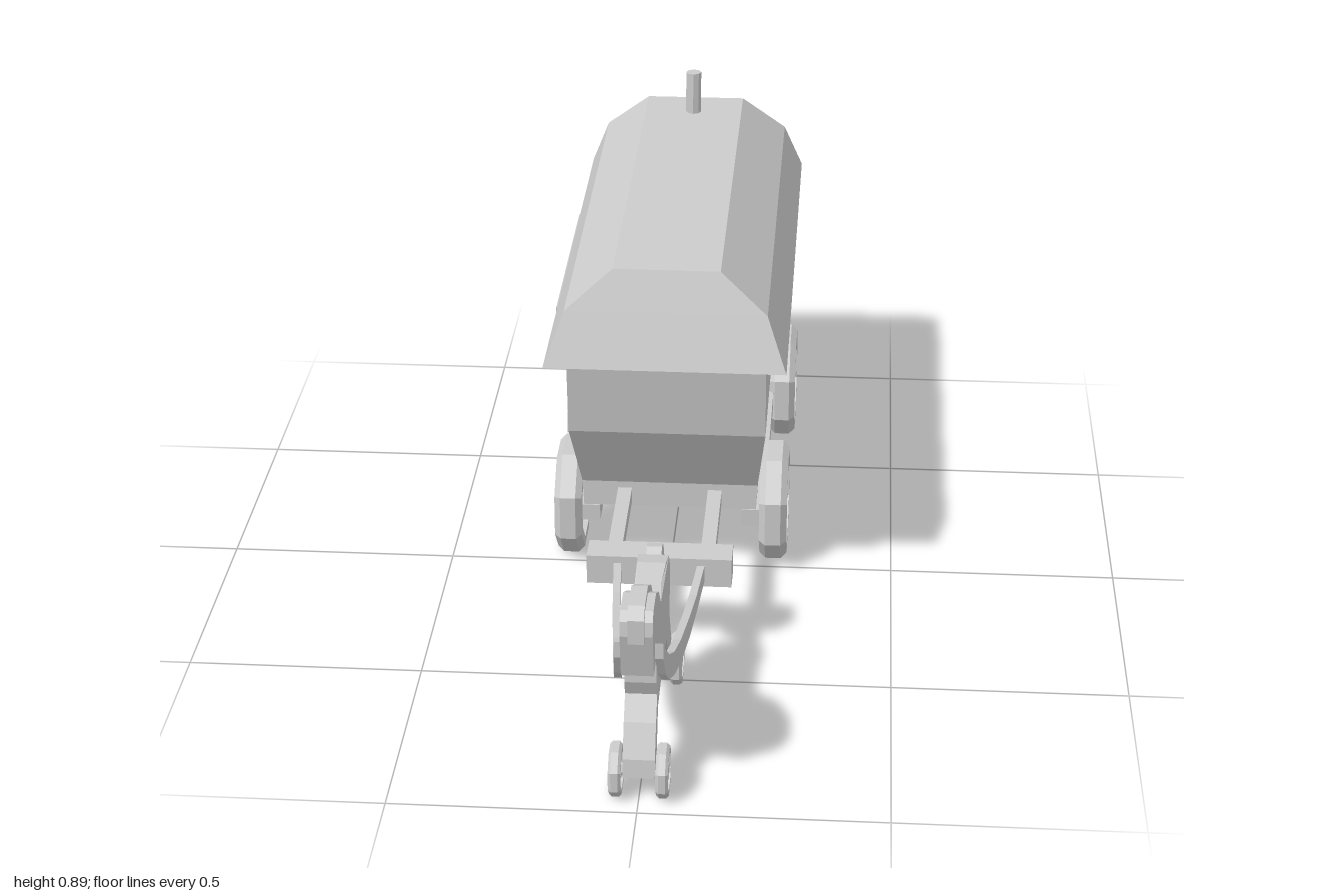
import * as THREE from 'three';

const material = new THREE.MeshStandardMaterial({ color: 0xcccccc, flatShading: true });

function add(parent, name, geometry, x = 0, y = 0, z = 0) {
  const mesh = new THREE.Mesh(geometry, material);
  mesh.name = name;
  mesh.position.set(x, y, z);
  parent.add(mesh);
  return mesh;
}

// Box given by its limits on each axis
function block(parent, name, x0, x1, y0, y1, z0, z1) {
  return add(parent, name, new THREE.BoxGeometry(x1 - x0, y1 - y0, z1 - z0),
    (x0 + x1) / 2, (y0 + y1) / 2, (z0 + z1) / 2);
}

// Closed skin over four-cornered cross-sections
function loft(rings) {
  const pos = [];
  const tri = (a, b, c) => pos.push(...a, ...b, ...c);
  for (let i = 0; i < rings.length - 1; i++) {
    for (let j = 0; j < 4; j++) {
      const k = (j + 1) % 4;
      tri(rings[i][j], rings[i][k], rings[i + 1][k]);
      tri(rings[i][j], rings[i + 1][k], rings[i + 1][j]);
    }
  }
  const s = rings[0], e = rings[rings.length - 1];
  tri(s[0], s[2], s[1]); tri(s[0], s[3], s[2]);
  tri(e[0], e[1], e[2]); tri(e[0], e[2], e[3]);
  const g = new THREE.BufferGeometry();
  g.setAttribute('position', new THREE.Float32BufferAttribute(pos, 3));
  g.computeVertexNormals();
  return g;
}

// Horizontal section for loft, stacked upwards
const level = (y, x0, x1, z0, z1) => [[x1, y, z1], [x1, y, z0], [x0, y, z0], [x0, y, z1]];

// Side outline in (z, y), extruded evenly about x = 0
function sideExtrude(points, width) {
  const shape = new THREE.Shape(points.map(([z, y]) => new THREE.Vector2(z, y)));
  return new THREE.ExtrudeGeometry(shape, { depth: width, bevelEnabled: false })
    .translate(0, 0, -width / 2).rotateY(-Math.PI / 2);
}

// Eight-sided chamfered wheel with spokes and hub; r is measured to the flats
function wheel(name, r, width) {
  const group = new THREE.Group();
  group.name = name;
  const R = r / Math.cos(Math.PI / 8), h = width / 2, c = width * 0.22;
  const profile = [[0.74 * R, -h], [R - c, -h], [R, -h + c], [R, h - c], [R - c, h], [0.74 * R, h], [0.74 * R, -h]]
    .map(([a, b]) => new THREE.Vector2(a, b));
  add(group, 'rim', new THREE.LatheGeometry(profile, 8, Math.PI / 8).rotateZ(Math.PI / 2));
  add(group, 'hub', new THREE.CylinderGeometry(0.34 * r, 0.34 * r, width * 0.9, 8, 1, false, Math.PI / 8).rotateZ(Math.PI / 2));
  for (let i = 0; i < 4; i++) {
    const spoke = add(group, 'spoke', new THREE.BoxGeometry(width * 0.45, r * 1.6, r * 0.13));
    spoke.rotation.x = i * Math.PI / 4;
  }
  return group;
}

export function createModel() {
  const model = new THREE.Group();
  model.name = 'horseAndWagon';

  // Wagon
  const wagon = new THREE.Group();
  wagon.name = 'wagon';
  model.add(wagon);
  add(wagon, 'body', loft([
    level(0.165, -0.193, 0.193, -0.81, 0.03),
    level(0.225, -0.196, 0.196, -0.81, 0.03),
    level(0.4, -0.215, 0.215, -0.91, 0.132),
    level(0.595, -0.215, 0.215, -0.94, 0.16),
  ]));
  add(wagon, 'roof', loft([
    level(0.59, -0.26, 0.26, -1, 0.215),
    level(0.705, -0.217, 0.217, -0.953, 0.17),
    level(0.79, -0.115, 0.115, -0.917, 0.135),
  ]));
  add(wagon, 'chimney', new THREE.CylinderGeometry(0.018, 0.018, 0.12, 8), 0, 0.83, -0.82);

  // Window frame on the right side only
  block(wagon, 'windowTopRail', -0.266, -0.2, 0.52, 0.575, -0.67, -0.13);
  block(wagon, 'windowBottomRail', -0.245, -0.18, 0.262, 0.317, -0.67, -0.13);
  for (const z of [-0.655, -0.195]) {
    add(wagon, 'windowPost', loft([
      level(0.3, -0.234, -0.19, z, z + 0.05),
      level(0.54, -0.251, -0.205, z, z + 0.05),
    ]));
  }

  // Running gear
  for (const side of [-1, 1]) {
    const rail = block(wagon, 'axleRail', 0.16, 0.21, 0.108, 0.147, -0.81, 0);
    rail.position.x *= side;
    for (const z of [-0.092, -0.722]) {
      const w = wheel('wagonWheel', 0.125, 0.062);
      w.position.set(side * 0.231, 0.127, z);
      wagon.add(w);
    }
  }

  // Hitch: two bars, a crossbar and two curved shafts
  block(model, 'crossbar', -0.155, 0.155, 0.16, 0.226, 0.305, 0.374);
  const stations = [ // z, x, bottom, top
    [0.36, 0.09, 0.172, 0.21], [0.5, 0.08, 0.17, 0.211], [0.6, 0.072, 0.171, 0.22],
    [0.72, 0.061, 0.18, 0.234], [0.8, 0.053, 0.2, 0.254], [0.86, 0.047, 0.226, 0.284],
    [0.9, 0.043, 0.262, 0.318], [0.93, 0.04, 0.315, 0.35],
  ];
  for (const side of [-1, 1]) {
    const bar = block(model, 'drawbar', 0.085, 0.116, 0.176, 0.21, 0, 0.32);
    bar.position.x *= side;
    add(model, 'curvedShaft', loft(stations.map(([z, x, b, t]) => {
      const l = side * x - 0.008, r = side * x + 0.008;
      return [[r, b, z], [r, t, z], [l, t, z], [l, b, z]];
    })));
  }

  // Horse cut from a plank, slightly waisted behind the neck
  const horse = new THREE.Group();
  horse.name = 'horse';
  model.add(horse);
  const body = sideExtrude([
    [0.992, 0.4], [0.988, 0.43], [0.97, 0.446], [0.9, 0.445], [0.825, 0.405], [0.765, 0.345],
    [0.72, 0.32], [0.66, 0.325], [0.59, 0.337], [0.535, 0.325], [0.507, 0.29], [0.505, 0.23],
    [0.52, 0.18], [0.46, 0.08], [0.475, 0.05], [0.52, 0.05], [0.56, 0.11], [0.61, 0.17],
    [0.73, 0.172], [0.855, 0.16], [0.885, 0.095], [0.905, 0.05], [0.95, 0.05], [0.945, 0.09],
    [0.91, 0.155], [0.875, 0.2], [0.89, 0.235], [0.888, 0.295], [0.912, 0.355], [0.918, 0.3], [0.965, 0.297],
  ], 0.064);
  const p = body.attributes.position;
  for (let i = 0; i < p.count; i++) {
    const d = Math.abs(p.getZ(i) - 0.66);
    if (d < 0.1 && p.getY(i) > 0.25) p.setX(i, p.getX(i) * (0.75 + 2.5 * d));
  }
  body.computeVertexNormals();
  add(horse, 'horseBody', body);
  add(horse, 'mane', sideExtrude([
    [1, 0.388], [1, 0.44], [0.975, 0.46], [0.895, 0.458], [0.815, 0.415], [0.755, 0.353], [0.72, 0.322],
    [0.77, 0.32], [0.83, 0.38], [0.9, 0.425], [0.965, 0.425], [0.97, 0.388],
  ], 0.032));
  add(horse, 'tail', sideExtrude([
    [0.53, 0.315], [0.51, 0.33], [0.48, 0.322], [0.45, 0.29], [0.432, 0.25], [0.465, 0.255],
    [0.48, 0.285], [0.505, 0.3],
  ], 0.032));
  for (const z of [0.497, 0.924]) {
    add(horse, 'axle', new THREE.CylinderGeometry(0.014, 0.014, 0.1, 8).rotateZ(Math.PI / 2), 0, 0.055, z);
    for (const side of [-1, 1]) {
      const w = wheel('horseWheel', 0.052, 0.025);
      w.position.set(side * 0.047, 0.054, z);
      horse.add(w);
    }
  }
  return model;
}
